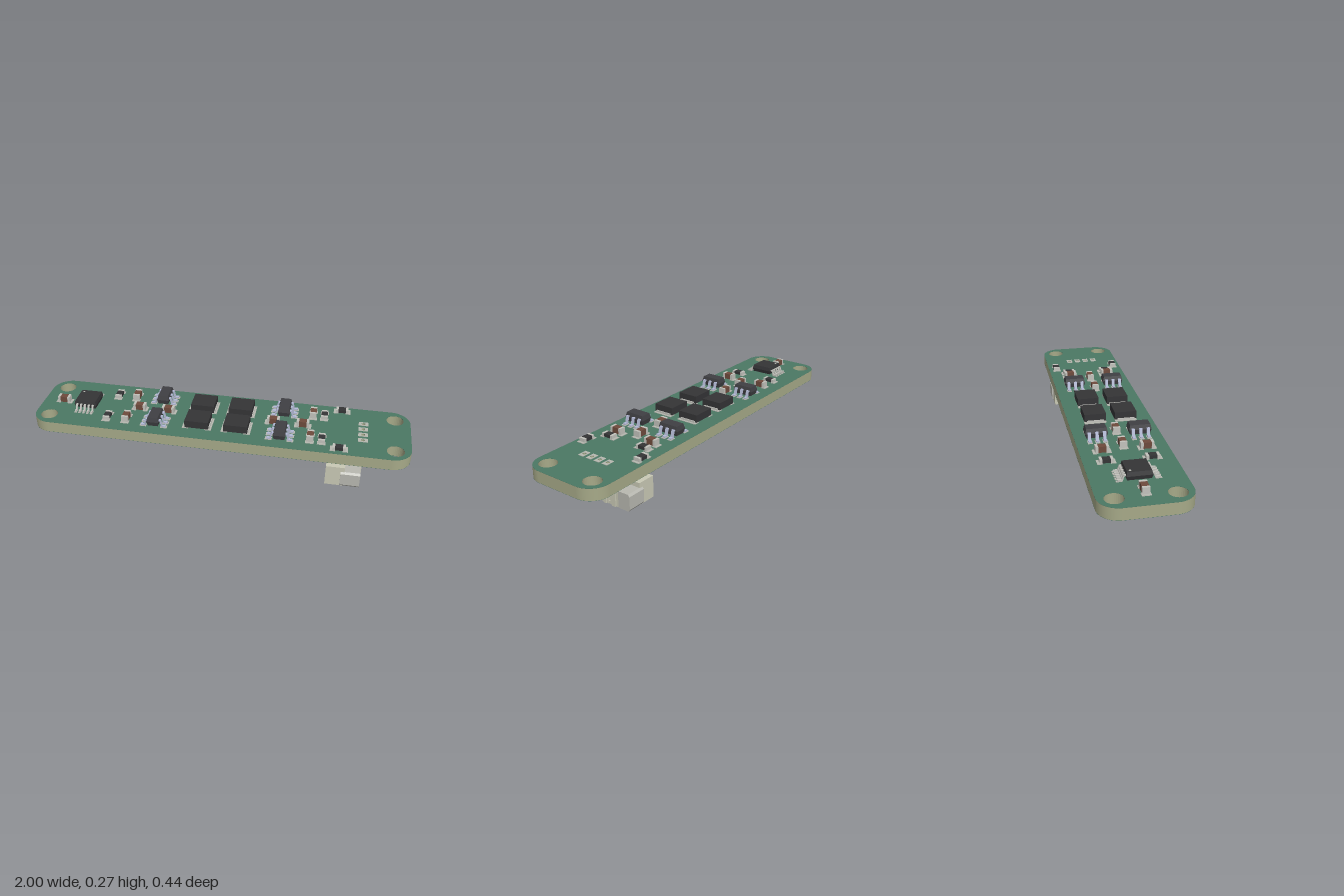
import * as THREE from 'three';

const mat = (color) => new THREE.MeshStandardMaterial({ color });
const M = {
  mask: mat(0x4b7864), core: mat(0xa6a988), black: mat(0x343436), chip: mat(0x3f3f43),
  metal: mat(0xc2c2bc), pad: mat(0xb6b8b0), lead: mat(0xb4bad6), brown: mat(0x6e4a3c),
  plastic: mat(0xc9c9b5), steel: mat(0xb8b8b0), dark: mat(0x4a4a48), jumper: mat(0x648574),
};
const TOP = 0.213, BOTTOM = 0.152;
const PADS_Z = [-0.075, -0.025, 0.025, 0.075];

function add(parent, name, geo, material, x = 0, y = 0, z = 0) {
  const m = new THREE.Mesh(geo, material);
  m.name = name;
  m.position.set(x, y, z);
  parent.add(m);
  return m;
}
const group = (parent, name, x, y, z) => {
  const g = new THREE.Group();
  g.name = name;
  g.position.set(x, y, z);
  parent.add(g);
  return g;
};
// box given by its limits
function span(parent, name, material, x0, x1, y0, y1, z0, z1) {
  return add(parent, name, new THREE.BoxGeometry(x1 - x0, y1 - y0, z1 - z0), material,
    (x0 + x1) / 2, (y0 + y1) / 2, (z0 + z1) / 2);
}
// moulded package: widest at its waist, narrower at top and bottom
function moulded(w, h, d, inset) {
  const g = new THREE.BoxGeometry(w, h, d, 1, 2, 1).toNonIndexed();
  const p = g.attributes.position;
  for (let i = 0; i < p.count; i++) {
    if (Math.abs(p.getY(i)) > h * 0.4) {
      p.setX(i, p.getX(i) - Math.sign(p.getX(i)) * inset);
      p.setZ(i, p.getZ(i) - Math.sign(p.getZ(i)) * inset);
    }
  }
  g.computeVertexNormals();
  return g;
}
// bent lead running outward along +x from the package, foot on the board
function gullWing(reach, rise, width) {
  const t = 0.007, s = new THREE.Shape();
  [[0, rise], [reach * 0.35, rise], [reach * 0.55, t], [reach, t], [reach, 0],
    [reach * 0.42, 0], [reach * 0.25, rise - t], [0, rise - t]]
    .reverse().forEach(([x, y], i) => (i ? s.lineTo(x, y) : s.moveTo(x, y)));
  return new THREE.ExtrudeGeometry(s, { depth: width, bevelEnabled: false }).translate(0, 0, -width / 2);
}

// rounded board outline with drilled holes
function boardLayer(y0, y1) {
  const w = 1, d = 0.218, r = 0.1, s = new THREE.Shape();
  s.moveTo(-w + r, -d);
  s.lineTo(w - r, -d);
  s.absarc(w - r, -d + r, r, -Math.PI / 2, 0);
  s.absarc(w - r, d - r, r, 0, Math.PI / 2);
  s.absarc(-w + r, d - r, r, Math.PI / 2, Math.PI);
  s.absarc(-w + r, -d + r, r, Math.PI, Math.PI * 1.5);
  const hole = (x, z, rad) => s.holes.push(new THREE.Path().absarc(x, z, rad, 0, Math.PI * 2, true));
  for (const x of [-0.92, 0.92]) for (const z of [-0.14, 0.14]) hole(x, z, 0.045);
  for (const z of PADS_Z) hole(0.755, z, 0.01);
  return new THREE.ExtrudeGeometry(s, { depth: y1 - y0, bevelEnabled: false, curveSegments: 16 })
    .rotateX(-Math.PI / 2).translate(0, y0, 0);
}

// two-terminal part; resistors are flat and dark, capacitors taller and brown
function passive(parent, kind, x, z, alongZ) {
  const g = group(parent, kind, x, TOP, z);
  const cap = kind === 'capacitor', h = cap ? 0.033 : 0.019, L = 0.066, W = 0.036;
  add(g, 'body', new THREE.BoxGeometry(L * 0.66, h - 0.002, W - 0.002), cap ? M.brown : M.black, 0, h / 2 + 0.002, 0);
  for (const s of [-1, 1]) {
    add(g, 'endCap', new THREE.BoxGeometry(L * 0.2, h, W), M.metal, s * L * 0.4, h / 2 + 0.002, 0);
    add(g, 'solderPad', new THREE.BoxGeometry(0.026, 0.004, 0.044), M.pad, s * 0.032, 0.001, 0);
  }
  if (alongZ) g.rotation.y = Math.PI / 2;
}

// small six-lead package
function sixLead(parent, x, z) {
  const g = group(parent, 'sixLeadChip', x, TOP, z);
  add(g, 'body', moulded(0.066, 0.05, 0.114, 0.006), M.chip, 0, 0.034, 0);
  for (const s of [-1, 1]) for (const k of [-1, 0, 1]) {
    const lead = add(g, 'lead', gullWing(0.04, 0.04, 0.016), M.lead, s * 0.027, 0.003, k * 0.038);
    if (s < 0) lead.rotation.y = Math.PI;
    add(g, 'solderPad', new THREE.BoxGeometry(0.035, 0.004, 0.024), M.pad, s * 0.056, 0.001, k * 0.038);
  }
}

// large shunt block with thin end terminals
function shunt(parent, x, z) {
  const g = group(parent, 'shuntResistor', x, TOP, z);
  add(g, 'body', new THREE.BoxGeometry(0.126, 0.04, 0.114), M.black, 0, 0.026, 0);
  for (const s of [-1, 1]) {
    add(g, 'terminal', new THREE.BoxGeometry(0.02, 0.012, 0.09), M.metal, s * 0.058, 0.007, 0);
    add(g, 'solderPad', new THREE.BoxGeometry(0.035, 0.004, 0.114), M.pad, s * 0.06, 0.001, 0);
  }
}

// ten-lead controller
function controller(parent) {
  const g = group(parent, 'controllerChip', -0.742, TOP, 0);
  add(g, 'body', moulded(0.122, 0.04, 0.122, 0.005), M.black, 0, 0.028, 0);
  add(g, 'pinOneDot', new THREE.CylinderGeometry(0.006, 0.006, 0.002, 16), M.pad, -0.04, 0.048, -0.04);
  for (const s of [-1, 1]) for (let k = -2; k <= 2; k++) {
    const lead = add(g, 'lead', gullWing(0.042, 0.03, 0.01), M.metal, k * 0.022, 0.003, s * 0.056);
    lead.rotation.y = -s * Math.PI / 2;
    add(g, 'solderPad', new THREE.BoxGeometry(0.013, 0.004, 0.03), M.pad, k * 0.022, 0.001, s * 0.09);
  }
}

// cable connector hanging under the board, ribbed on its +x face
function connector(parent) {
  const g = group(parent, 'cableConnector', 0, 0, 0);
  span(g, 'housing', M.plastic, 0.625, 0.752, 0, 0.15, -0.133, 0.133);
  span(g, 'rearWall', M.plastic, 0.583, 0.626, 0, 0.113, -0.195, 0.195);
  for (const s of [-1, 1]) {
    const shoulder = span(g, 'shoulder', M.plastic, 0.62, 0.68, 0, 0.113, 0.13, 0.195);
    shoulder.position.z *= s;
    // chamfered side latch
    const shape = new THREE.Shape();
    [[0.133, 0], [0.194, 0], [0.203, 0.012], [0.203, 0.078], [0.194, 0.088], [0.133, 0.088]]
      .forEach(([z, y], i) => (i ? shape.lineTo(z - 0.168, y) : shape.moveTo(z - 0.168, y)));
    const latch = add(g, 'sideLatch',
      new THREE.ExtrudeGeometry(shape, { depth: 0.1, bevelEnabled: false }).translate(0, 0, -0.05),
      M.steel, 0.71, 0, s * 0.168);
    latch.rotation.y = -s * Math.PI / 2;
  }
  // ribs between the contact slots
  const edges = [-0.133, ...PADS_Z, 0.133];
  for (let i = 0; i < edges.length - 1; i++) {
    const a = edges[i] + (i ? 0.006 : 0), b = edges[i + 1] - (i < 4 ? 0.006 : 0);
    span(g, 'rib', M.plastic, 0.75, 0.758, 0, 0.15, a, b);
    span(g, 'ribRidge', M.plastic, 0.757, 0.765, 0, 0.15, a + (b - a) * 0.28, b - (b - a) * 0.28);
  }
  for (const z of PADS_Z) {
    span(g, 'slotFloor', M.plastic, 0.75, 0.756, 0, 0.013, z - 0.006, z + 0.006);
    span(g, 'contact', M.dark, 0.75, 0.757, 0.134, 0.146, z - 0.006, z + 0.006);
  }
}

export function createModel() {
  const model = new THREE.Group();
  model.name = 'sensorBoard';

  const board = group(model, 'circuitBoard', 0, 0, 0);
  add(board, 'boardCore', boardLayer(BOTTOM + 0.001, TOP - 0.001), M.core);
  add(board, 'topMask', boardLayer(TOP - 0.001, TOP), M.mask);
  add(board, 'bottomMask', boardLayer(BOTTOM, BOTTOM + 0.001), M.mask);

  // header pads around the drilled holes
  for (const z of PADS_Z) {
    const s = new THREE.Shape();
    s.moveTo(-0.025, -0.016).lineTo(0.025, -0.016).lineTo(0.025, 0.016).lineTo(-0.025, 0.016);
    s.holes.push(new THREE.Path().absarc(0, 0, 0.01, 0, Math.PI * 2, true));
    add(board, 'headerPad', new THREE.ExtrudeGeometry(s, { depth: 0.002, bevelEnabled: false })
      .rotateX(-Math.PI / 2), M.pad, 0.755, TOP, z);
  }
  // split round solder jumpers underneath
  for (const x of [0.155, -0.081, -0.387, -0.519]) for (const s of [0, 1]) {
    add(board, 'solderJumper', new THREE.CylinderGeometry(0.043, 0.043, 0.002, 20, 1, false, s * Math.PI, Math.PI),
      M.jumper, x + (s ? -0.005 : 0.005), BOTTOM - 0.001, -0.11);
  }

  controller(model);
  for (const s of [-1, 1]) {
    const z = s * 0.11;
    passive(model, 'resistor', -0.6, z, true);
    passive(model, 'capacitor', -0.495, z, true);
    sixLead(model, -0.335, z);
    shunt(model, -0.107, s * 0.08);
    shunt(model, 0.1, s * 0.08);
    sixLead(model, 0.332, z);
    passive(model, 'capacitor', 0.487, z, true);
    passive(model, 'resistor', 0.547, z, true);
    passive(model, 'resistor', 0.638, s * 0.175, false);
  }
  for (const x of [-0.883, -0.45, -0.29, 0.283, 0.44]) passive(model, 'capacitor', x, 0, false);
  connector(model);
  return model;
}
